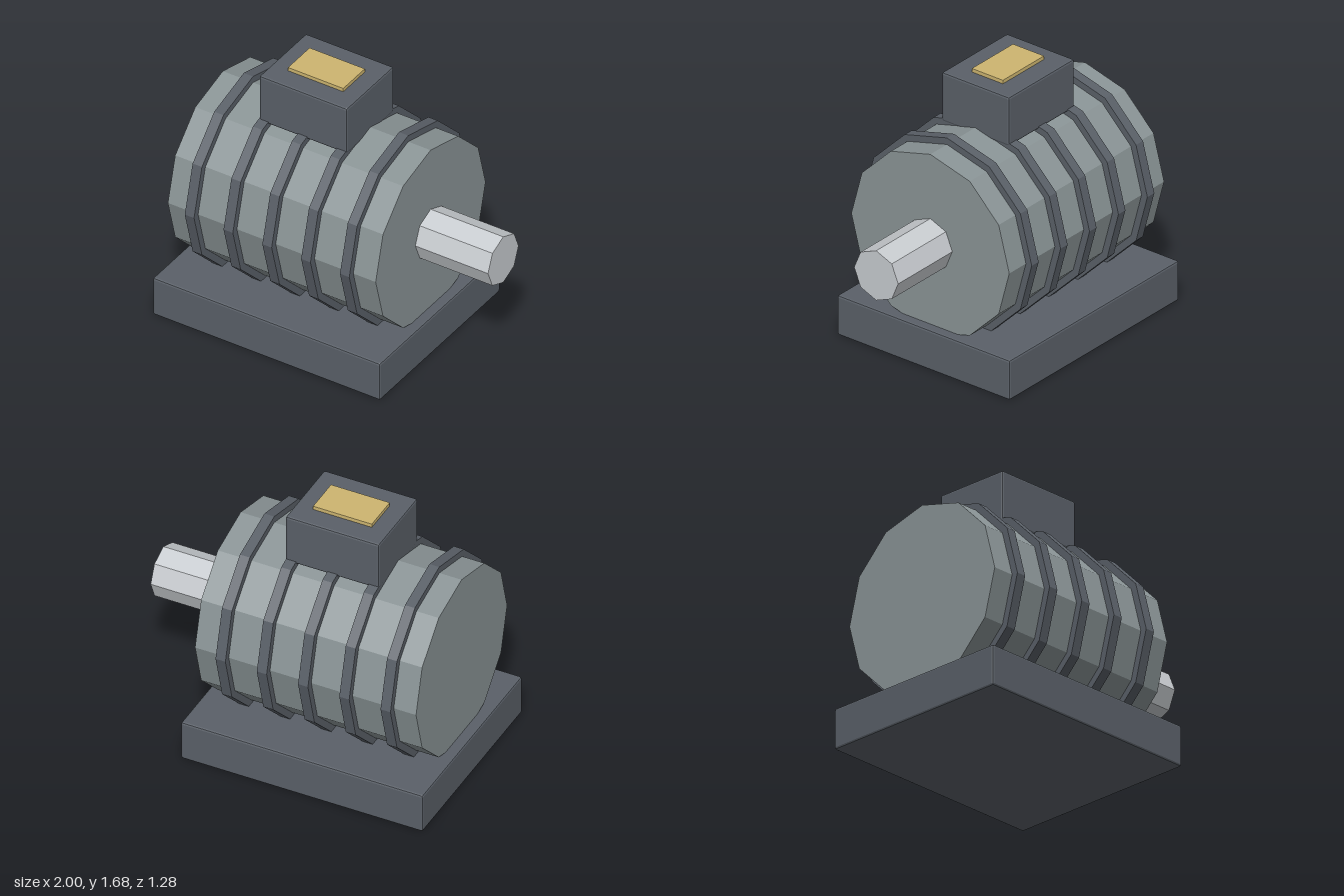
import * as THREE from 'three';
import { RoundedBoxGeometry } from 'three/addons/geometries/RoundedBoxGeometry.js';

export function createModel() {
  const flat = (name, color) => {
    const m = new THREE.MeshStandardMaterial({ color, flatShading: true });
    m.name = name;
    return m;
  };
  const darkSteel = flat('dark steel', 0x5a6068);
  const casing = flat('grey casing', 0x8a9496);
  const bright = flat('bright steel', 0xc8ccd0);
  const brass = flat('brass', 0xcdb570);

  const motor = new THREE.Group();
  motor.name = 'electricMotor';
  const axisY = 0.79;

  const add = (name, geometry, material, x, y) => {
    const mesh = new THREE.Mesh(geometry, material);
    mesh.name = name;
    mesh.position.set(x, y, 0);
    motor.add(mesh);
  };
  // Faceted cylinder lying along x, from x0 to x1
  const barrel = (name, material, radius, sides, x0, x1) => {
    const g = new THREE.CylinderGeometry(radius, radius, x1 - x0, sides);
    g.rotateZ(-Math.PI / 2);
    add(name, g, material, (x0 + x1) / 2, axisY);
  };
  // Box with a narrow chamfer, given by its x and y extents
  const block = (name, material, x0, x1, y0, y1, depth) =>
    add(name, new RoundedBoxGeometry(x1 - x0, y1 - y0, depth, 1, 0.013), material, (x0 + x1) / 2, (y0 + y1) / 2);

  // Mounting base
  block('base', darkSteel, -1, 0.565, 0, 0.26, 1.28);

  // Housing with cooling ribs
  barrel('housing', casing, 0.585, 12, -0.93, 0.5);
  for (let i = 0; i < 5; i++) {
    const x = -0.754 + i * 0.267;
    barrel(`coolingRib${i + 1}`, darkSteel, 0.628, 12, x - 0.032, x + 0.032);
  }

  // Drive shaft
  barrel('shaft', bright, 0.163, 8, 0.48, 1);

  // Terminal box and its cover plate
  block('terminalBox', darkSteel, -0.52, 0.085, 1.335, 1.655, 0.5);
  add('coverPlate', new THREE.BoxGeometry(0.38, 0.03, 0.23), brass, -0.217, 1.663);

  return motor;
}
